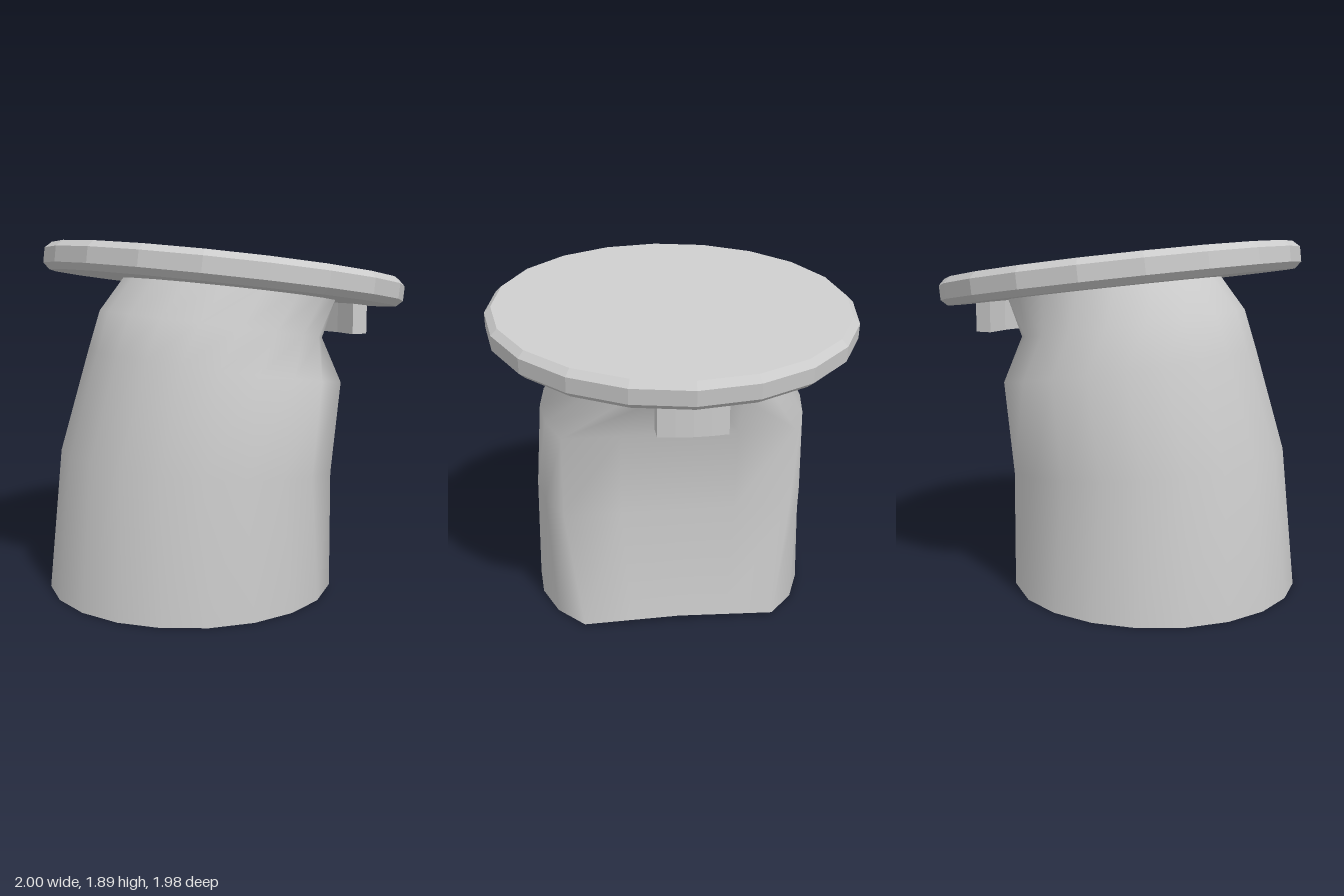
import * as THREE from 'three';

const SIDES = 20;

// One D-shaped ring: a circle of half depth r touching x = left, cut flat at x = right.
// The ring plane leans from yLeft down to yRight.
function ring({ left, right, r, yLeft, yRight, lift = 0 }) {
  const cx = left + r, flat = right - cx;
  const corner = Math.acos(flat / r);
  const points = [];
  for (let i = 0; i < SIDES; i++) {
    const k = i > SIDES / 2 ? i - SIDES : i;
    let x, z, raise = 0;
    if (Math.abs(k) <= 2) {
      x = flat;
      z = r * Math.sin(corner) * k / 2;
      raise = lift * (1 - Math.abs(k) * 0.3);
    } else {
      const a = corner + (i - 2) / (SIDES - 4) * (2 * Math.PI - 2 * corner);
      x = r * Math.cos(a);
      z = r * Math.sin(a);
    }
    const t = (cx + x - left) / (right - left);
    points.push([cx + x, yLeft + (yRight - yLeft) * t + raise, z]);
  }
  return points;
}

// Skin through the rings with shared vertices, so the side shades smoothly
function loft(rings) {
  const index = [];
  for (let j = 0; j < rings.length - 1; j++) {
    for (let i = 0; i < SIDES; i++) {
      const n = (i + 1) % SIDES;
      const a = j * SIDES + i, b = j * SIDES + n;
      index.push(a, a + SIDES, b, b, a + SIDES, b + SIDES);
    }
  }
  return toGeometry(rings.flat(), index);
}

function toGeometry(points, index) {
  const geometry = new THREE.BufferGeometry();
  geometry.setAttribute('position', new THREE.Float32BufferAttribute(points.flat(), 3));
  geometry.setIndex(index);
  geometry.computeVertexNormals();
  return geometry;
}

export function createModel() {
  const group = new THREE.Group();
  const smooth = new THREE.MeshStandardMaterial({ color: 0xcccccc });
  const faceted = new THREE.MeshStandardMaterial({ color: 0xcccccc, flatShading: true });

  const add = (name, geometry, material) => {
    const mesh = new THREE.Mesh(geometry, material);
    mesh.name = name;
    group.add(mesh);
    return mesh;
  };

  // Leaning stem, pinched on its flat side
  const rings = [
    { left: -1.0, right: 0.37, r: 0.79, yLeft: 0, yRight: 0, lift: 0.03 },
    { left: -0.92, right: 0.3, r: 0.77, yLeft: 0.77, yRight: 0.67 },
    { left: -0.755, right: 0.36, r: 0.73, yLeft: 1.31, yRight: 1.15 },
    { left: -0.69, right: 0.45, r: 0.615, yLeft: 1.52, yRight: 1.36 },
    { left: -0.52, right: 0.6, r: 0.59, yLeft: 1.73, yRight: 1.6 },
  ].map(ring);
  add('stem', loft(rings), smooth);

  // Underside of the stem
  const fan = [];
  for (let i = 0; i < SIDES; i++) fan.push(SIDES, i, (i + 1) % SIDES);
  add('stemBase', toGeometry([...rings[0], [-0.21, 0, 0]], fan), faceted);

  // Tilted round lid with chamfered rim
  const profile = [
    [0, -0.073], [0.955, -0.073], [0.99, -0.04],
    [0.99, 0.04], [0.955, 0.073], [0, 0.073],
  ].map(([x, y]) => new THREE.Vector2(x, y));
  const lid = add('lid', new THREE.LatheGeometry(profile, SIDES), faceted);
  lid.position.set(0.01, 1.7, 0);
  lid.rotation.z = -0.121;

  // Small curved catch hanging under the low edge of the lid
  const arc = new THREE.Shape();
  const half = 0.192;
  arc.absarc(0, 0, 0.895, -half, half, false);
  arc.lineTo(0.777, 0.172);
  arc.lineTo(0.795, 0);
  arc.lineTo(0.777, -0.172);
  const catchGeometry = new THREE.ExtrudeGeometry(arc, { depth: 0.2, bevelEnabled: false, curveSegments: 2 });
  catchGeometry.rotateX(-Math.PI / 2);
  add('catch', catchGeometry, faceted).position.y = 1.355;

  return group;
}
